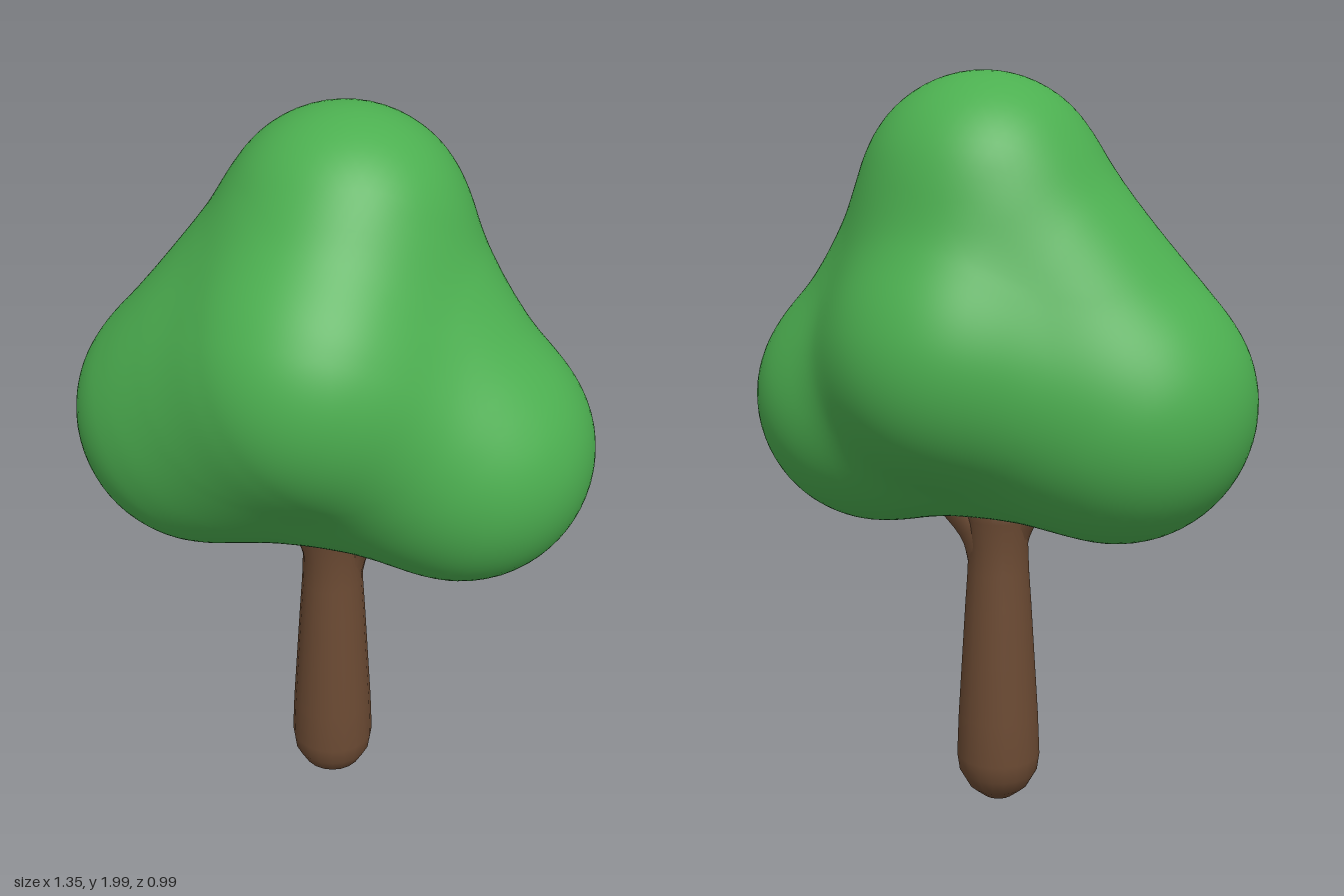
import * as THREE from 'three';
import { mergeVertices } from 'three/addons/utils/BufferGeometryUtils.js';

// Foliage lobes: centre and radius
const lobe = (x, y, z, r) => ({ c: new THREE.Vector3(x, y, z), r });
const crown = lobe(0.03, 1.68, -0.04, 0.32);
const right = lobe(-0.32, 1.17, -0.08, 0.36);
const left = lobe(0.33, 1.14, 0.08, 0.345);
const front = lobe(-0.05, 1.39, 0.145, 0.35);
const back = lobe(0.08, 1.3, -0.15, 0.345);

// Every pair of lobes is bridged; the number swells the middle of the bridge
const BRIDGES = [
  [crown, right, 0.02], [crown, left, 0], [crown, front, 0.02], [crown, back, 0.01],
  [right, front, 0.03], [right, back, 0.01], [right, left, 0],
  [left, front, 0.01], [left, back, 0], [front, back, 0],
];
const BLEND = 0.025;
const SHARED = 4; // bridges meeting at each lobe

// Smoothly blended distance to the tapered bridges
function foliageDistance(p) {
  let sum = 0;
  const axis = new THREE.Vector3();
  const rel = new THREE.Vector3();
  for (const [a, b, swell] of BRIDGES) {
    axis.subVectors(b.c, a.c);
    rel.subVectors(p, a.c);
    const t = THREE.MathUtils.clamp(rel.dot(axis) / axis.lengthSq(), 0, 1);
    const radius = THREE.MathUtils.lerp(a.r, b.r, t) + swell * 4 * t * (1 - t);
    sum += Math.exp((radius - rel.addScaledVector(axis, -t).length()) / BLEND);
  }
  return -BLEND * Math.log(sum / SHARED);
}

// Sphere whose vertices are shrunk along their rays onto the blended lobes
function foliageGeometry() {
  let geo = new THREE.IcosahedronGeometry(1, 24);
  geo.deleteAttribute('normal');
  geo.deleteAttribute('uv');
  geo = mergeVertices(geo, 1e-4);
  const pos = geo.attributes.position;
  const centre = new THREE.Vector3(0, 1.3, 0);
  const dir = new THREE.Vector3();
  const p = new THREE.Vector3();
  for (let i = 0; i < pos.count; i++) {
    dir.fromBufferAttribute(pos, i).normalize();
    let t = 1.1;
    for (let step = 0; step < 80; step++) {
      p.copy(centre).addScaledVector(dir, t);
      const d = foliageDistance(p);
      if (d < 0.0005) break;
      t -= d * 0.8;
    }
    pos.setXYZ(i, p.x, p.y, p.z);
  }
  geo.computeVertexNormals();
  return geo;
}

export function createModel() {
  const tree = new THREE.Group();
  tree.name = 'tree';
  const leaf = new THREE.MeshStandardMaterial({ color: 0x4caf50 });
  const bark = new THREE.MeshStandardMaterial({ color: 0x6b4a33 });
  const add = (name, geometry, material) => {
    const mesh = new THREE.Mesh(geometry, material);
    mesh.name = name;
    tree.add(mesh);
  };

  add('foliage', foliageGeometry(), leaf);

  // Trunk with a rounded foot and a slight flare at the top
  const profile = [
    [0, 0.005], [0.045, 0.012], [0.085, 0.045], [0.11, 0.09], [0.117, 0.14], [0.112, 0.26],
    [0.102, 0.42], [0.092, 0.58], [0.085, 0.68], [0.082, 0.76], [0.09, 0.83], [0.1, 0.92], [0, 1],
  ].map(([r, y]) => new THREE.Vector2(r, y));
  add('trunk', new THREE.LatheGeometry(profile, 20), bark);

  // Short branches forking into the two side lobes
  for (const [name, reach] of [['leftBranch', 0.24], ['rightBranch', -0.14]]) {
    const path = new THREE.CatmullRomCurve3([
      new THREE.Vector3(reach * 0.08, 0.68, 0),
      new THREE.Vector3(reach * 0.2, 0.79, 0),
      new THREE.Vector3(reach * 0.55, 0.89, reach * 0.05),
      new THREE.Vector3(reach, 0.99, reach * 0.1),
    ]);
    add(name, new THREE.TubeGeometry(path, 12, 0.06, 12), bark);
  }
  return tree;
}
